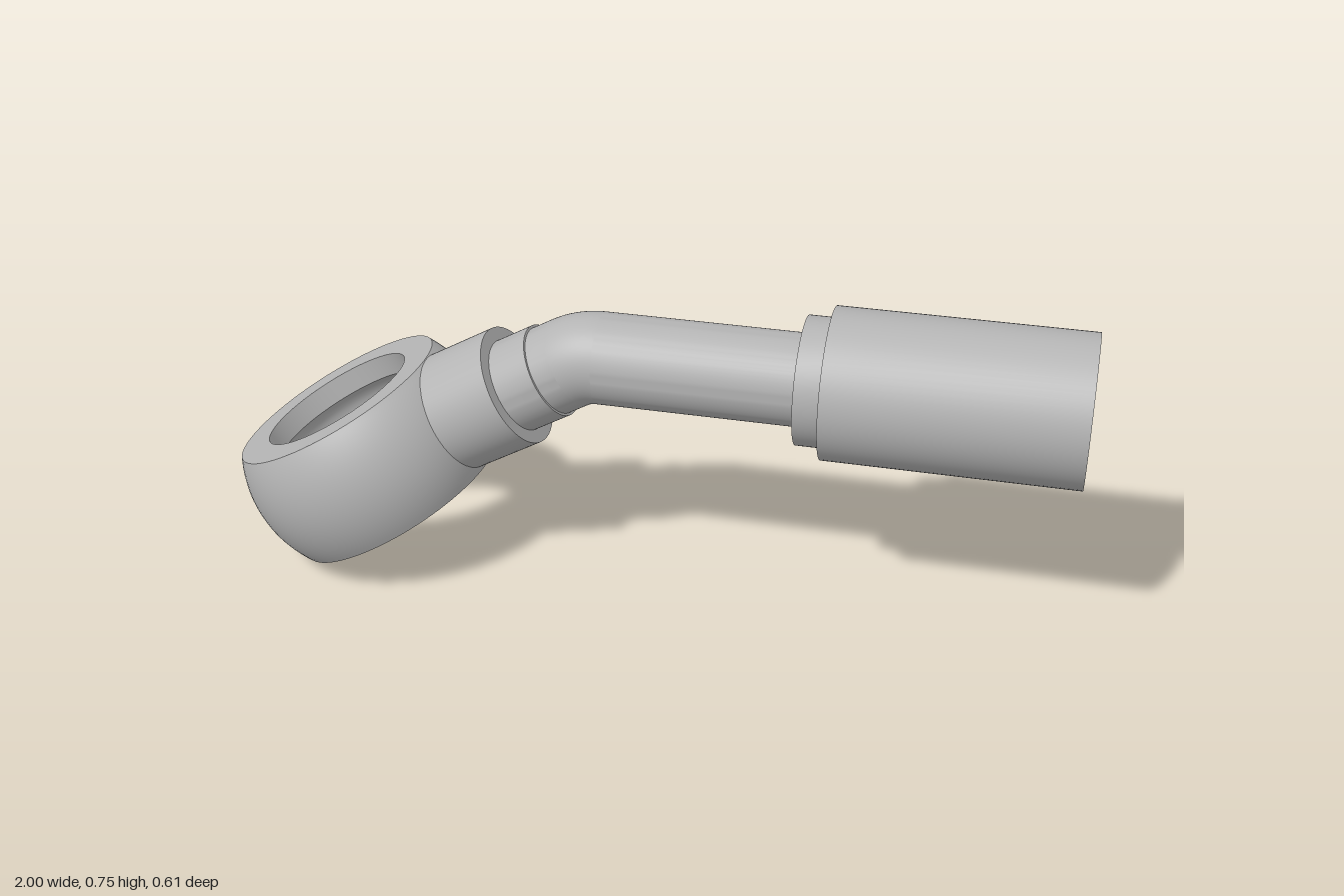
import * as THREE from 'three';
import { toCreasedNormals } from 'three/addons/utils/BufferGeometryUtils.js';

const AXIS_Y = 0.583;        // height of the straight hose axis
const TILT = Math.PI / 6;    // bend angle
const CORNER_X = -0.147;     // where the two axes meet
const BEND_R = 0.15;
const TANGENT = BEND_R * Math.tan(TILT / 2);
const PIPE_R = 0.107, BORE_R = 0.075;

export function createModel() {
  const steel = new THREE.MeshStandardMaterial({ color: 0xb4b4b4, side: THREE.DoubleSide });
  steel.name = 'steel grey';

  const add = (parent, name, geometry) => {
    const mesh = new THREE.Mesh(geometry, steel);
    mesh.name = name;
    parent.add(mesh);
    return mesh;
  };

  // Turned part from [radius, position] pairs, outside first, then back along the inside
  const turned = (profile) => toCreasedNormals(
    new THREE.LatheGeometry(profile.map(([r, t]) => new THREE.Vector2(r, t)), 72), 0.5);
  const turnedX = (profile) => turned(profile).rotateZ(-Math.PI / 2);

  const model = new THREE.Group();
  model.name = 'banjoHoseFitting';

  // Straight end: axis along x, origin at the corner of the bend
  const straight = new THREE.Group();
  straight.name = 'straightEnd';
  straight.position.set(CORNER_X, AXIS_Y, 0);
  model.add(straight);
  const X = (x) => x - CORNER_X;

  add(straight, 'pipe', turnedX([
    [PIPE_R, TANGENT], [PIPE_R, X(0.97)], [0.1, X(0.98)], [BORE_R, X(0.98)], [BORE_R, TANGENT],
  ]));

  // Crimp sleeve with a stepped collar and a deep annular recess
  add(straight, 'crimpSleeve', turnedX([
    [PIPE_R, X(0.36)], [0.148, X(0.36)], [0.148, X(0.42)], [0.175, X(0.42)],
    [0.175, X(1)], [0.157, X(1)], [0.148, X(0.98)], [0.148, X(0.46)], [PIPE_R, X(0.46)],
  ]));

  // Bend, outer skin and bore
  for (const [name, r] of [['bend', PIPE_R], ['bendBore', BORE_R]]) {
    const geometry = new THREE.TorusGeometry(BEND_R, r, 72, 16, TILT).rotateZ(Math.PI / 2);
    if (name === 'bendBore') {
      // Turn the bore inside out so that it is lit from within
      const index = geometry.index.array;
      for (let i = 0; i < index.length; i += 3) [index[i], index[i + 1]] = [index[i + 1], index[i]];
      const normals = geometry.attributes.normal.array;
      for (let i = 0; i < normals.length; i++) normals[i] *= -1;
    }
    add(model, name, geometry).position.set(CORNER_X + TANGENT, AXIS_Y - BEND_R, 0);
  }

  // Tilted end: local x runs along the lowered axis towards the bend
  const tilted = new THREE.Group();
  tilted.name = 'tiltedEnd';
  tilted.position.set(CORNER_X, AXIS_Y, 0);
  tilted.rotation.z = TILT;
  model.add(tilted);

  // Neck, collar and short pipe in one turned piece
  add(tilted, 'neck', turnedX([
    [0.145, -0.385], [0.145, -0.19], [0.113, -0.19], [0.113, -0.092],
    [PIPE_R, -0.092], [PIPE_R, -TANGENT], [BORE_R, -TANGENT], [BORE_R, -0.385], [0.145, -0.385],
  ]));

  // Banjo eye: sphere cut by two flat faces, with a grooved hole
  const R = 0.305, H = 0.147, HOLE = 0.19, GROOVE = 0.092;
  const profile = [[HOLE, -H]];
  const limit = Math.asin(H / R);
  for (let i = 0; i <= 20; i++) {
    const a = limit * (i / 10 - 1);
    profile.push([R * Math.cos(a), R * Math.sin(a)]);
  }
  profile.push([HOLE, H]);
  for (let i = 0; i <= 16; i++) {
    const t = 1 - i / 8;
    profile.push([HOLE + 0.03 * (1 - t ** 4), GROOVE * t]);
  }
  profile.push([HOLE, -H]);
  add(tilted, 'banjoEye', turned(profile)).position.x = -0.632;

  return model;
}
